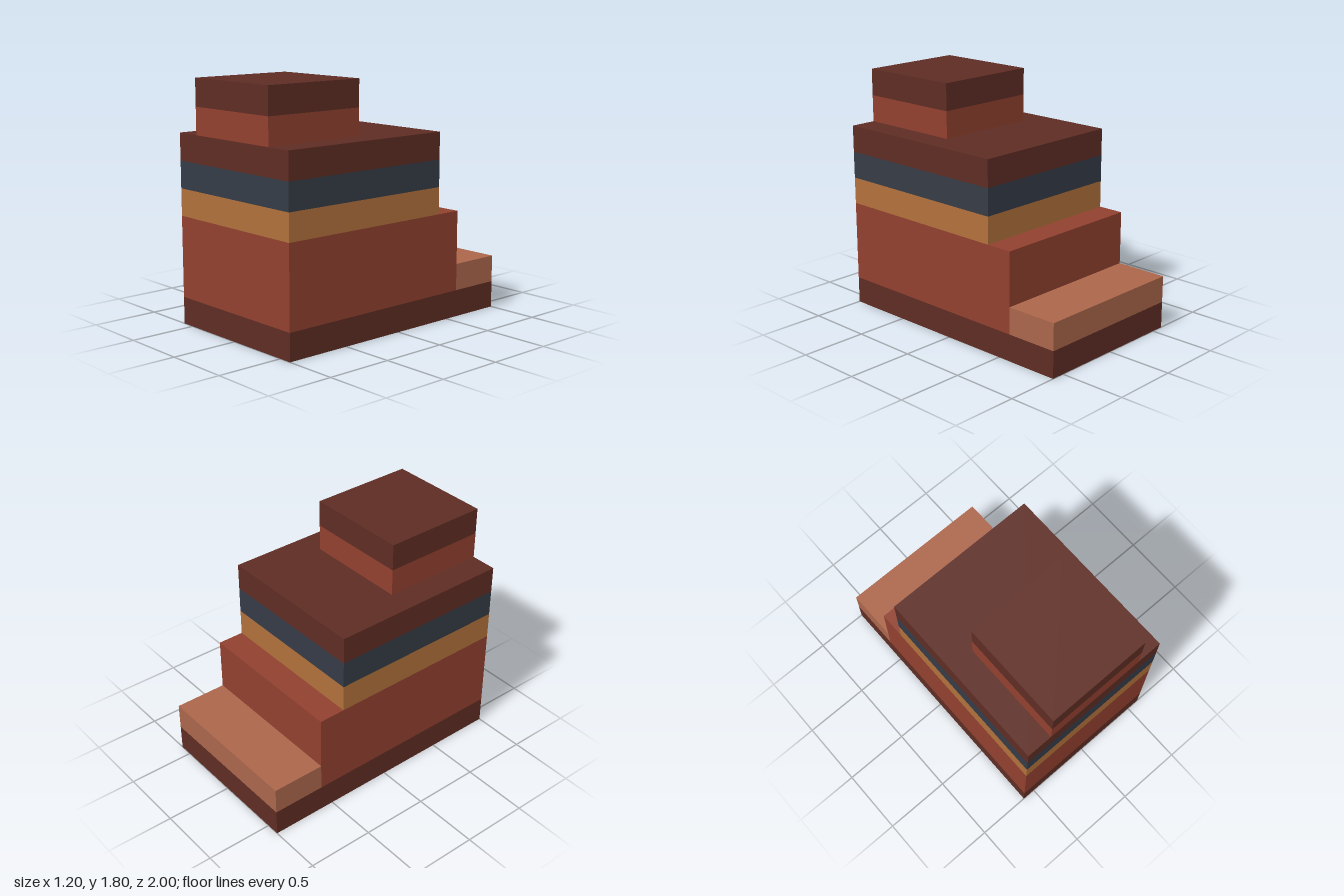
import * as THREE from 'three';

const material = (name, color) => {
  const m = new THREE.MeshStandardMaterial({ color });
  m.name = name;
  return m;
};

export function createModel() {
  const darkBrown = material('dark brown', 0x5e2c23);
  const brick = material('brick red', 0x91402f);
  const clay = material('light clay', 0xab664b);
  const ochre = material('ochre', 0xb1703b);
  const slate = material('slate blue', 0x353b46);

  const model = new THREE.Group();
  model.name = 'steppedBuilding';

  // Each layer: name, material, width, bottom, top, back z, front z
  const layers = [
    ['base', darkBrown, 1.2, 0, 0.2, -1, 1],
    ['rearStep', clay, 1.2, 0.2, 0.4, -1, -0.6],
    ['mainBody', brick, 1.2, 0.2, 0.8, -0.6, 1],
    ['ochreBand', ochre, 1.2, 0.8, 1.0, -0.4, 1],
    ['slateBand', slate, 1.2, 1.0, 1.2, -0.4, 1],
    ['mainRoof', darkBrown, 1.2, 1.2, 1.4, -0.4, 1],
    ['towerBody', brick, 0.8, 1.4, 1.6, 0.2, 1],
    ['towerRoof', darkBrown, 0.8, 1.6, 1.8, 0.2, 1],
  ];

  for (const [name, mat, width, y0, y1, z0, z1] of layers) {
    const mesh = new THREE.Mesh(new THREE.BoxGeometry(width, y1 - y0, z1 - z0), mat);
    mesh.name = name;
    mesh.position.set(0, (y0 + y1) / 2, (z0 + z1) / 2);
    model.add(mesh);
  }
  return model;
}
